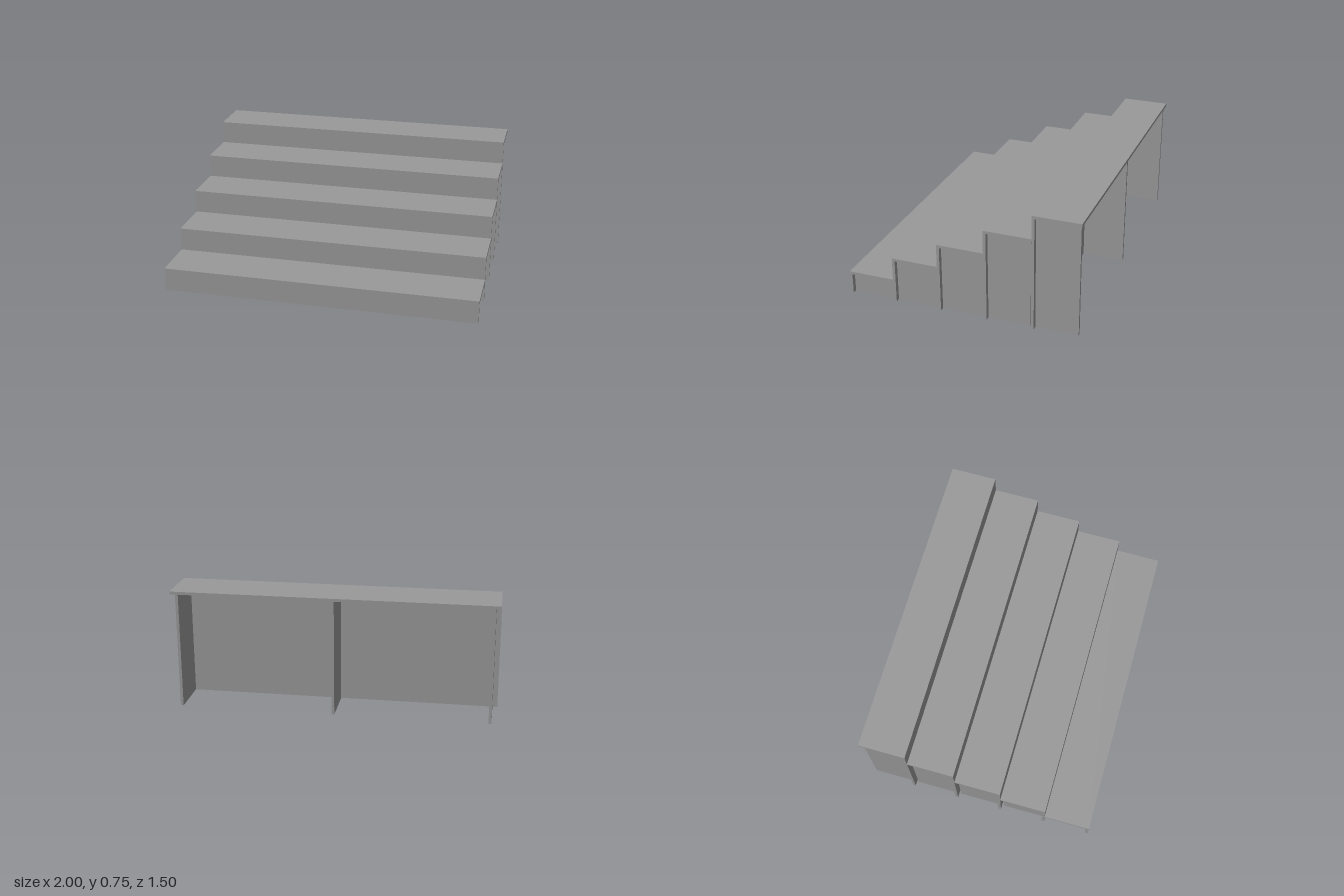
import * as THREE from 'three';

const STEPS = 5, WIDTH = 2, DEPTH = 0.3, RISE = 0.15;
const BOARD = 0.018;   // board thickness
const INSET = 0.03;    // end supports sit in from the tread ends
const GAP = 0.012;     // supports stop short of the tread's back edge

export function createModel() {
  const model = new THREE.Group();
  model.name = 'steppedRiser';
  const gray = new THREE.MeshStandardMaterial({ color: 0x999999 });
  gray.name = 'gray board';

  for (let i = 0; i < STEPS; i++) {
    const step = new THREE.Group();
    step.name = `step${i + 1}`;
    const height = RISE * (i + 1);
    step.position.z = STEPS * DEPTH / 2 - DEPTH * i; // front edge of this step

    // Tread and front board as one L-shaped section, drawn from the front edge backwards
    const section = new THREE.Shape([
      [0, 0], [BOARD, 0], [BOARD, height - BOARD],
      [DEPTH, height - BOARD], [DEPTH, height], [0, height],
    ].map(([x, y]) => new THREE.Vector2(x, y)));
    const shellGeometry = new THREE.ExtrudeGeometry(section, { depth: WIDTH, bevelEnabled: false });
    shellGeometry.translate(0, 0, -WIDTH / 2);
    shellGeometry.rotateY(Math.PI / 2);
    const shell = new THREE.Mesh(shellGeometry, gray);
    shell.name = 'treadAndFrontBoard';
    step.add(shell);

    // Upright supports at both ends and in the middle
    const length = DEPTH - BOARD - GAP;
    const supportGeometry = new THREE.BoxGeometry(BOARD, height - BOARD, length);
    ['rightSupport', 'middleSupport', 'leftSupport'].forEach((name, k) => {
      const support = new THREE.Mesh(supportGeometry, gray);
      support.name = name;
      support.position.set(
        (k - 1) * (WIDTH / 2 - INSET - BOARD / 2),
        (height - BOARD) / 2,
        -BOARD - length / 2,
      );
      step.add(support);
    });
    model.add(step);
  }
  return model;
}
